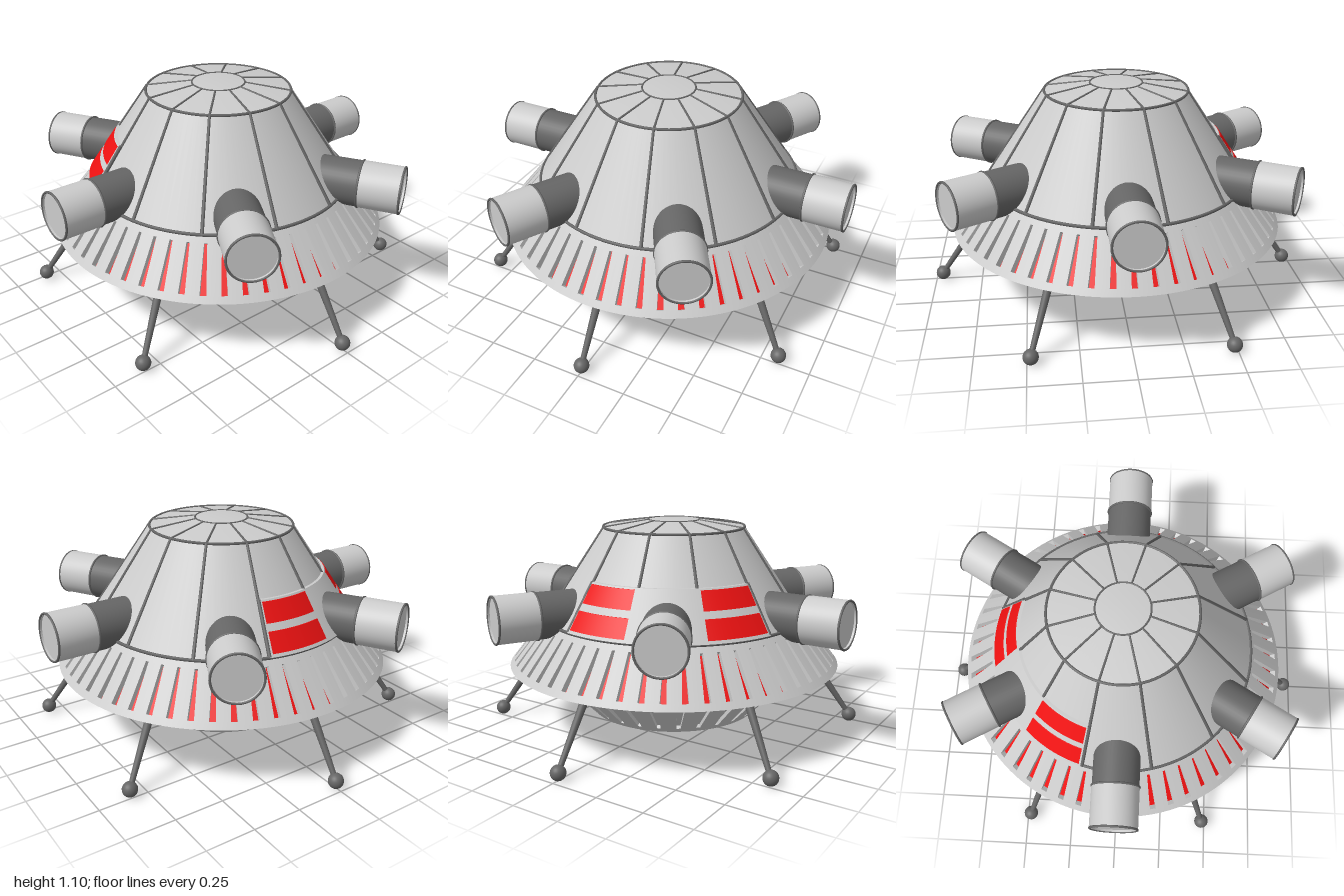
import * as THREE from 'three';
import { toCreasedNormals } from 'three/addons/utils/BufferGeometryUtils.js';

const RAD = Math.PI / 180;
const mat = (color, side = THREE.FrontSide) => new THREE.MeshStandardMaterial({ color, side });
const grey = mat(0xcccccc);
const greyDouble = mat(0xcccccc, THREE.DoubleSide);
const dark = mat(0x666666);
const red = mat(0xee1111);

function add(parent, name, geometry, material) {
  const mesh = new THREE.Mesh(geometry, material);
  mesh.name = name;
  parent.add(mesh);
  return mesh;
}

// Point on a circle; angle 0 faces the front, +90 the model's left
const polar = (deg, r, y) => new THREE.Vector3(r * Math.sin(deg * RAD), y, r * Math.cos(deg * RAD));

// Surface of revolution with crisp corners, profile listed from bottom to top
function lathe(profile, segments = 96, start = 0, sweep = 360) {
  const pts = profile.map(([r, y]) => new THREE.Vector2(r, y));
  return toCreasedNormals(new THREE.LatheGeometry(pts, segments, start * RAD, sweep * RAD), 0.5);
}

// Tapered rod between two points
function rod(a, b, ra, rb, sides = 8) {
  const g = new THREE.CylinderGeometry(rb, ra, a.distanceTo(b), sides);
  const q = new THREE.Quaternion().setFromUnitVectors(new THREE.Vector3(0, 1, 0), b.clone().sub(a).normalize());
  const mid = a.clone().add(b).multiplyScalar(0.5);
  return g.applyQuaternion(q).translate(mid.x, mid.y, mid.z);
}

const ring = (r, y, tube) => new THREE.TorusGeometry(r, tube, 6, 96).rotateX(Math.PI / 2).translate(0, y, 0);

function quads(list) {
  const pos = [];
  for (const [a, b, c, d] of list) for (const p of [a, b, c, a, c, d]) pos.push(p.x, p.y, p.z);
  const g = new THREE.BufferGeometry();
  g.setAttribute('position', new THREE.Float32BufferAttribute(pos, 3));
  return toCreasedNormals(g, 0.4);
}

// Cone wall pierced by evenly spaced tapered slots; returns the wall and the slot floors
function slottedCone([r0, y0], [r1, y1], { count, offset, low, high, t0, t1, depth }) {
  const len = Math.hypot(r1 - r0, y1 - y0);
  const nr = (y1 - y0) / len, ny = (r0 - r1) / len;
  const at = (deg, t, d = 0) => polar(deg, r0 + (r1 - r0) * t - d * nr, y0 + (y1 - y0) * t - d * ny);
  const wall = [], floor = [];
  const step = 360 / count;
  const rows = [[0, low], [t0, low], [t1, high], [1, high]];
  for (let i = 0; i < count; i++) {
    const c = offset + i * step;
    for (let j = 0; j < 3; j++) {
      const [ta, wa] = rows[j], [tb, wb] = rows[j + 1];
      const lo = [c - step / 2, c - wa, c + wa, c + step / 2];
      const hi = [c - step / 2, c - wb, c + wb, c + step / 2];
      for (let k = 0; k < 3; k++) {
        const corners = [[lo[k], ta], [lo[k + 1], ta], [hi[k + 1], tb], [hi[k], tb]];
        const outer = corners.map(([a, t]) => at(a, t));
        if (j !== 1 || k !== 1) { wall.push(outer); continue; }
        const inner = corners.map(([a, t]) => at(a, t, depth));
        floor.push(inner);
        for (let e = 0; e < 4; e++) {
          const f = (e + 1) % 4;
          wall.push([outer[e], outer[f], inner[f], inner[e]]);
        }
      }
    }
  }
  return { wall: quads(wall), floor: quads(floor) };
}

// Radius of the upper hull at a given height
const hullR = y => 0.68 - (y - 0.6) * (0.31 / 0.465);

export function createModel() {
  const model = new THREE.Group();
  model.name = 'saucer';

  // Lower hull with tapered recesses, closed by a flat base
  const lower = slottedCone([0.445, 0.09], [0.71, 0.36],
    { count: 30, offset: 6, low: 1.2, high: 2.3, t0: 0.1, t1: 0.93, depth: 0.018 });
  add(model, 'lowerHull', lower.wall, grey);
  add(model, 'lowerRecessFloors', lower.floor, grey);
  add(model, 'basePlate', new THREE.CircleGeometry(0.445, 96).rotateX(Math.PI / 2).translate(0, 0.09, 0), grey);

  // Skirt with glowing slots and a flat underside
  const skirt = slottedCone([0.875, 0.355], [0.68, 0.6],
    { count: 54, offset: 0, low: 1.05, high: 0.6, t0: 0.12, t1: 0.88, depth: 0.03 });
  add(model, 'skirt', skirt.wall, grey);
  add(model, 'skirtLights', skirt.floor, red);
  add(model, 'skirtUnderside', new THREE.RingGeometry(0.69, 0.875, 96).rotateX(Math.PI / 2).translate(0, 0.355, 0), grey);

  // Upper hull and shallow roof
  add(model, 'upperHull', lathe([[0.68, 0.6], [0.37, 1.065]]), grey);
  add(model, 'roof', lathe([[0.37, 1.065], [0.135, 1.1], [0, 1.1]]), grey);
  add(model, 'hullBaseRing', ring(0.682, 0.602, 0.008), dark);
  add(model, 'roofEdgeRing', ring(0.37, 1.065, 0.007), dark);
  add(model, 'roofCenterRing', ring(0.135, 1.099, 0.005), dark);

  // Seams dividing hull and roof into twelve panels
  for (let i = 0; i < 12; i++) {
    const a = 15 + i * 30;
    add(model, 'hullSeam', rod(polar(a, 0.682, 0.6), polar(a, 0.371, 1.065), 0.009, 0.007), dark);
    add(model, 'roofSeam', rod(polar(a, 0.37, 1.066), polar(a, 0.135, 1.1), 0.006, 0.005), dark);
  }

  // Raised window band over three panels on the right side
  const out = 0.014;
  add(model, 'windowBand', lathe([[hullR(0.605), 0.605], [hullR(0.605) + out, 0.605],
    [hullR(0.835) + out, 0.835], [hullR(0.835) - 0.005, 0.835]], 32, -105, 90), greyDouble);
  for (const a of [-15, -105]) {
    add(model, 'bandEdge', rod(polar(a, hullR(0.605) + 0.008, 0.605), polar(a, hullR(0.835) + 0.008, 0.835), 0.009, 0.009), dark);
  }
  for (const center of [-30, -90]) {
    for (const [y0, y1] of [[0.62, 0.707], [0.74, 0.827]]) {
      const o = out + 0.004;
      add(model, 'window', lathe([[hullR(y0), y0], [hullR(y0) + o, y0], [hullR(y1) + o, y1], [hullR(y1), y1]],
        12, center - 13.7, 27.4), red);
    }
  }

  // Six pods around the hull: dark neck, light barrel, thin end rings
  for (let i = 0; i < 6; i++) {
    const pod = new THREE.Group();
    pod.name = 'pod';
    const turn = g => g.rotateX(Math.PI / 2);
    add(pod, 'podNeck', turn(new THREE.CylinderGeometry(0.118, 0.118, 0.33, 40).translate(0, 0.605, 0)), dark);
    add(pod, 'podBarrel', turn(lathe([[0, 0.765], [0.12, 0.765], [0.12, 0.975], [0.111, 0.975], [0.111, 0.965], [0, 0.965]], 40)), grey);
    for (const [z, r] of [[0.768, 0.119], [0.974, 0.117]]) {
      add(pod, 'podRing', new THREE.TorusGeometry(r, 0.006, 8, 40).translate(0, 0, z), dark);
    }
    pod.position.y = 0.66;
    pod.rotation.y = i * 60 * RAD;
    model.add(pod);
  }

  // Six splayed legs ending in ball feet
  for (let i = 0; i < 6; i++) {
    const a = 30 + i * 60;
    const foot = polar(a, 0.962, 0.038);
    add(model, 'leg', rod(foot, polar(a, 0.725, 0.38), 0.013, 0.022, 16), dark);
    add(model, 'foot', new THREE.SphereGeometry(0.038, 24, 16).translate(foot.x, foot.y, foot.z), dark);
  }
  return model;
}
